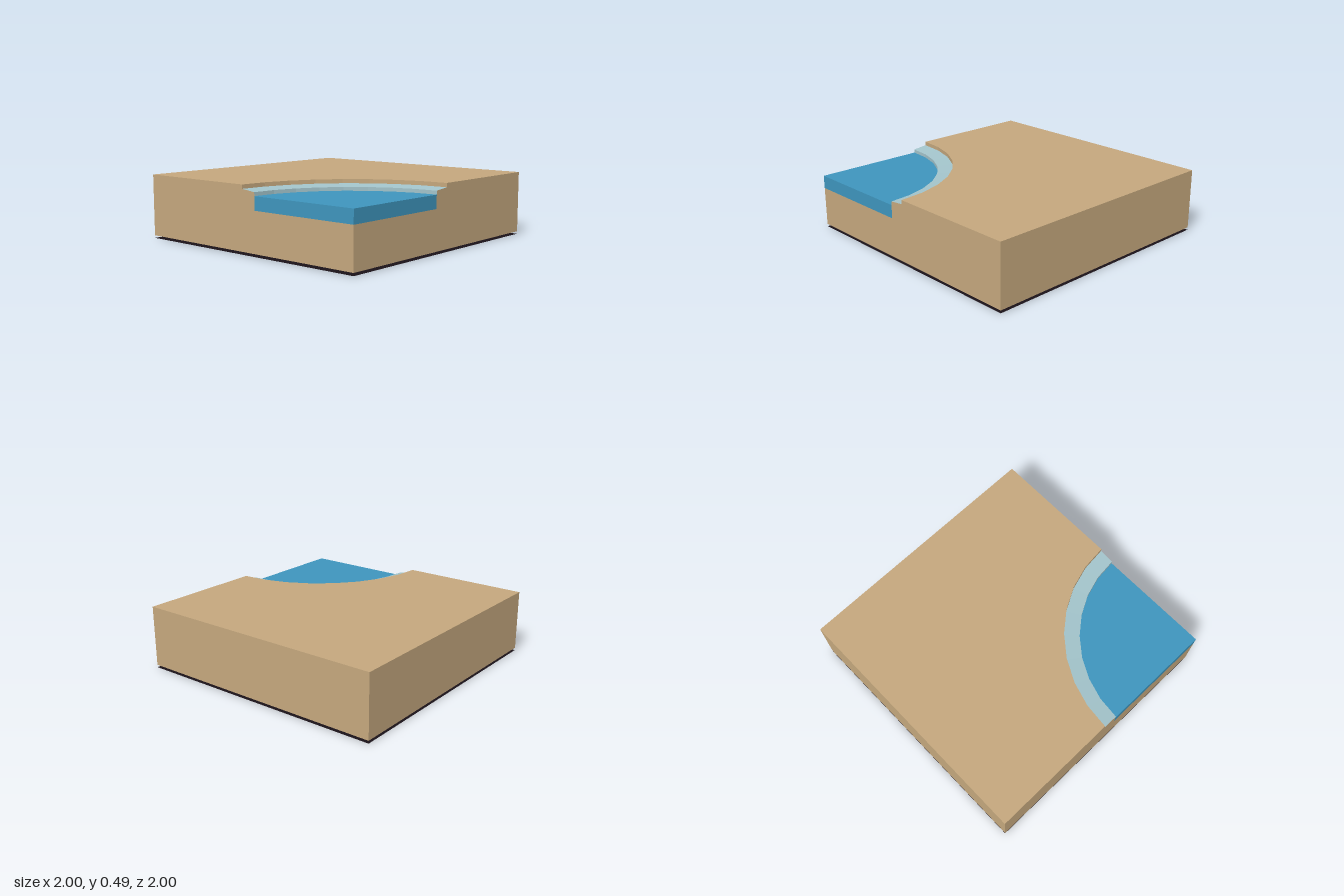
import * as THREE from 'three';

const SEGMENTS = 8;
const OUTER = 1, INNER = 0.88;
const BED = 0.32, WATER = 0.42, TOP = 0.49;

const mat = (name, color) => {
  const m = new THREE.MeshStandardMaterial({ color });
  m.name = name;
  return m;
};

// Quarter arc around the front corner, in plan (y = -z)
function arc(radius) {
  return Array.from({ length: SEGMENTS + 1 }, (_, i) => {
    const a = (Math.PI / 2) * (1 - i / SEGMENTS);
    return new THREE.Vector2(-1 + radius * Math.cos(a), -1 + radius * Math.sin(a));
  });
}

// Plan outline raised from y0 to y1
function slab(points, y0, y1) {
  const g = new THREE.ExtrudeGeometry(new THREE.Shape(points), { depth: y1 - y0, bevelEnabled: false });
  return g.rotateX(-Math.PI / 2).translate(0, y0, 0);
}

export function createModel() {
  const group = new THREE.Group();
  const sand = mat('sand', 0xc4a77d);
  const water = mat('water', 0x3e95bd);
  const shallows = mat('shallows', 0xa2c3ca);
  const underside = mat('underside', 0x1a1218);
  underside.side = THREE.DoubleSide;

  const add = (name, geometry, material) => {
    const mesh = new THREE.Mesh(geometry, material);
    mesh.name = name;
    group.add(mesh);
    return mesh;
  };
  const v = (x, y) => new THREE.Vector2(x, y);

  // Dark sheet just below the block
  add('bottomSheet', new THREE.PlaneGeometry(2, 2).rotateX(-Math.PI / 2), underside);

  // Ground block, with the rounded bay cut out of its upper layer
  add('groundBase', new THREE.BoxGeometry(2, BED - 0.02, 2).translate(0, (BED + 0.02) / 2, 0), sand);
  add('groundTop', slab([...arc(OUTER), v(1, -1), v(1, 1), v(-1, 1)], BED, TOP), sand);

  // Water filling the bay
  add('water', slab([v(-1, -1), ...arc(INNER)], BED, WATER), water);

  // Pale sloping shore with a small step down to the water
  const shore = new THREE.LatheGeometry(
    [v(OUTER, 0.46), v(INNER, 0.447), v(INNER, WATER)],
    SEGMENTS, Math.PI / 2, Math.PI / 2
  ).toNonIndexed();
  shore.computeVertexNormals();
  add('shore', shore.translate(-1, 0, 1), shallows);

  // Sand faces closing the two cut ends of the shore
  for (const s of [1, -1]) {
    const end = new THREE.ShapeGeometry(new THREE.Shape([
      v(s * INNER, BED), v(s * OUTER, BED), v(s * OUTER, 0.46), v(s * INNER, 0.447),
    ]));
    if (s < 0) end.rotateY(-Math.PI / 2);
    add(s > 0 ? 'frontBankEnd' : 'rightBankEnd', end.translate(-1, 0, 1), sand);
  }

  return group;
}
